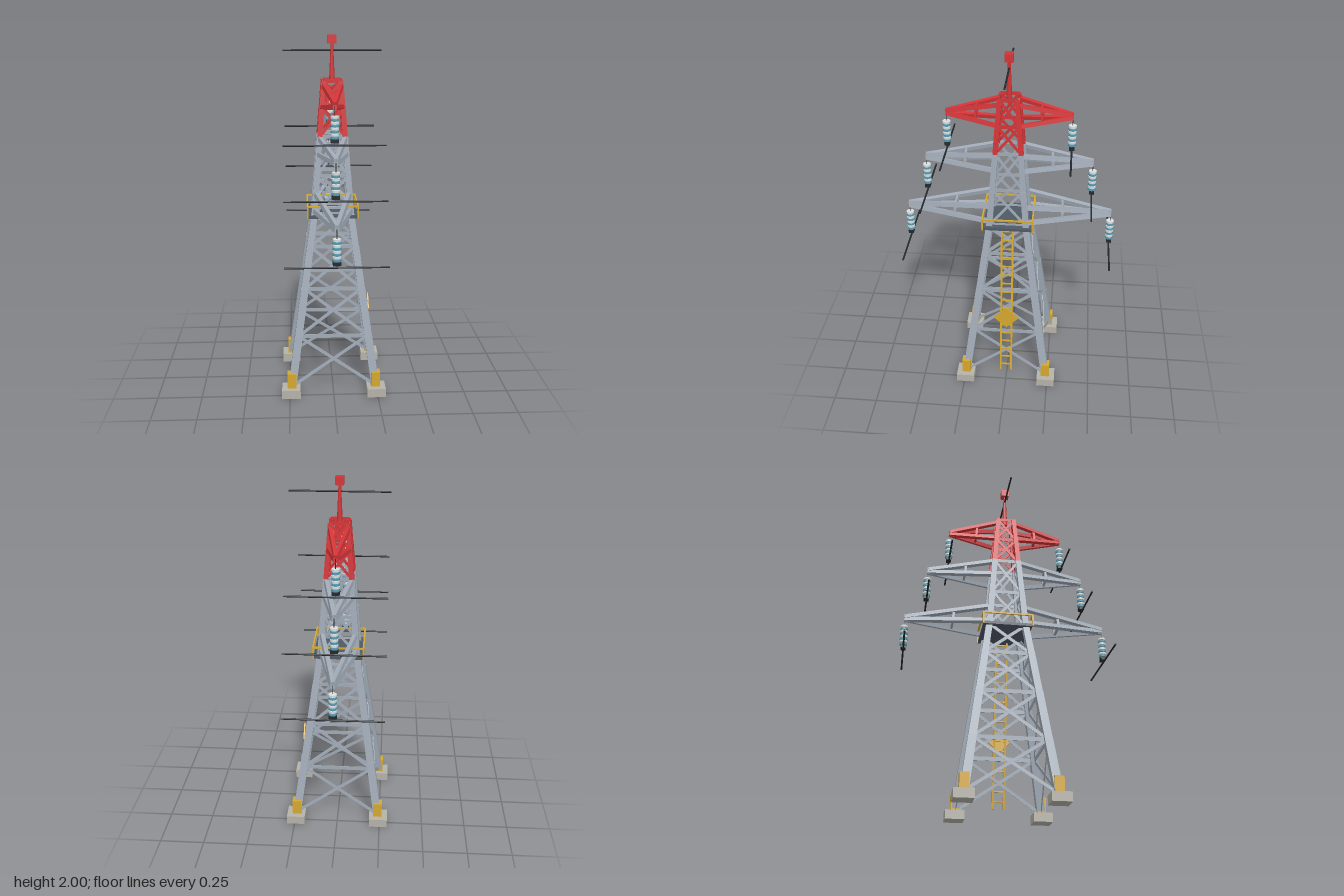
import * as THREE from 'three';

const mat = (name, color) => Object.assign(new THREE.MeshStandardMaterial({ color }), { name });
const steel = mat('galvanised steel', 0xa1abb7);
const red = mat('warning red', 0xd43437);
const yellow = mat('safety yellow', 0xd5a82e);
const concrete = mat('concrete', 0xb5b2a9);
const slate = mat('deck slate', 0x505a66);
const dark = mat('cable black', 0x24282c);
const pale = mat('porcelain', 0xdcdfdf);
const teal = mat('glass teal', 0x5a9db3);

const V = (x, y, z) => new THREE.Vector3(x, y, z);
const UP = V(0, 1, 0);

function add(parent, name, geometry, material, x = 0, y = 0, z = 0) {
  const mesh = new THREE.Mesh(geometry, material);
  mesh.name = name;
  mesh.position.set(x, y, z);
  parent.add(mesh);
  return mesh;
}
const box = (parent, name, material, w, h, d, x, y, z) =>
  add(parent, name, new THREE.BoxGeometry(w, h, d), material, x, y, z);

// Square bar running from a to b
function beam(parent, name, material, a, b, w) {
  const dir = b.clone().sub(a);
  const mesh = box(parent, name, material, w, dir.length(), w, 0, 0, 0);
  mesh.position.copy(a).add(b).multiplyScalar(0.5);
  mesh.quaternion.setFromUnitVectors(UP, dir.normalize());
}

// Thin flat bar from a to b whose broad side faces along normal
function flatBar(parent, name, material, a, b, w, normal) {
  const dir = b.clone().sub(a);
  const mesh = box(parent, name, material, w, dir.length(), 0.003, 0, 0, 0);
  mesh.position.copy(a).add(b).multiplyScalar(0.5);
  dir.normalize();
  const out = normal.clone().addScaledVector(dir, -normal.dot(dir)).normalize();
  const across = dir.clone().cross(out);
  mesh.quaternion.setFromRotationMatrix(new THREE.Matrix4().makeBasis(across, dir, out));
}

function group(parent, name) {
  const g = new THREE.Group();
  g.name = name;
  parent.add(g);
  return g;
}

// Half width of the tower, to the leg centres, at height y
function half(y) {
  return y < 1.03
    ? THREE.MathUtils.mapLinear(y, 0.05, 1.03, 0.237, 0.102)
    : THREE.MathUtils.mapLinear(y, 1.03, 1.76, 0.102, 0.047);
}
const corners = [[1, 1], [1, -1], [-1, -1], [-1, 1]];

function buildFootings(root) {
  for (const [sx, sz] of corners) {
    const g = group(root, 'footing');
    box(g, 'footingBlock', concrete, 0.105, 0.05, 0.105, sx * 0.242, 0.025, sz * 0.242);
    box(g, 'legGuard', yellow, 0.05, 0.087, 0.05, sx * 0.238, 0.0935, sz * 0.238);
  }
}

function buildTower(root) {
  const levels = [0.05, 0.34, 0.61, 0.85, 1.03, 1.245, 1.46, 1.615, 1.76];
  const legWidths = [0.044, 0.042, 0.039, 0.036, 0.033, 0.031, 0.027, 0.025];
  for (let i = 0; i < 8; i++) {
    const y0 = levels[i], y1 = levels[i + 1];
    const material = i < 6 ? steel : red;
    const panel = group(root, i < 6 ? 'towerPanel' : 'redTowerPanel');
    const at = ([sx, sz], y) => V(sx * half(y), y, sz * half(y));
    const braceW = i < 4 ? 0.018 : 0.015;
    corners.forEach((c, k) => {
      const n = corners[(k + 1) % 4];
      const out = V(c[0] + n[0], 0, c[1] + n[1]).normalize();
      beam(panel, 'leg', material, at(c, y0), at(c, y1), legWidths[i]);
      flatBar(panel, 'crossBrace', material, at(c, y0), at(n, y1), braceW, out);
      flatBar(panel, 'crossBrace', material, at(n, y0), at(c, y1), braceW, out);
      flatBar(panel, 'girt', material, at(c, y1), at(n, y1), i < 4 ? 0.023 : 0.02, out);
    });
  }
}

// Four chords meeting at the tip, with posts and struts part way along
function buildArm(root, side, a) {
  const arm = group(root, 'crossArm');
  const tipLow = V(0, a.tipY - 0.006, side * a.tipZ);
  const tipHigh = V(0, a.tipY + 0.008, side * a.tipZ);
  const low = (s, t) => V(s * half(a.low), a.low, side * half(a.low)).lerp(tipLow, t);
  const high = (s, t) => V(s * half(a.high), a.high, side * half(a.high)).lerp(tipHigh, t);
  for (const s of [1, -1]) {
    beam(arm, 'lowerChord', a.material, low(s, 0), tipLow, a.w);
    beam(arm, 'upperChord', a.material, high(s, 0), tipHigh, a.w);
    beam(arm, 'armPost', a.material, low(s, 0.43), high(s, 0.43), 0.014);
  }
  beam(arm, 'armStrut', a.material, low(-1, 0.43), low(1, 0.43), 0.012);
  beam(arm, 'armStrut', a.material, high(-1, 0.43), high(1, 0.43), 0.012);
}

const disc = new THREE.CylinderGeometry(0.0215, 0.0215, 0.0115, 12);
const cable = new THREE.CylinderGeometry(0.005, 0.005, 0.535, 8).rotateZ(Math.PI / 2);

// Alternating discs on a thin wire, with the clamp and cable below
function buildInsulator(root, { top, tipY, tipZ }, side) {
  const g = group(root, 'insulatorString');
  const z = side * tipZ;
  beam(g, 'hangerWire', dark, V(0, tipY, z), V(0, top - 0.154, z), 0.003);
  for (let i = 0; i < 8; i++) {
    const isPale = i % 2 === 0;
    add(g, isPale ? 'paleDisc' : 'tealDisc', disc, isPale ? pale : teal, 0, top - 0.007 - i * 0.0152, z);
  }
  box(g, 'cableClamp', dark, 0.042, 0.018, 0.028, 0, top - 0.132, z);
  add(g, 'cable', cable, dark, 0, top - 0.154, z);
}

function buildPlatform(root) {
  const g = group(root, 'platform');
  box(g, 'deck', slate, 0.275, 0.016, 0.275, 0, 1.022, 0);
  const r = 0.139;
  corners.forEach(([sx, sz], k) => {
    const [nx, nz] = corners[(k + 1) % 4];
    beam(g, 'railPost', yellow, V(sx * r, 1.015, sz * r), V(sx * r, 1.086, sz * r), 0.009);
    beam(g, 'handRail', yellow, V(sx * r, 1.082, sz * r), V(nx * r, 1.082, nz * r), 0.009);
  });
}

function buildLadder(root) {
  const g = group(root, 'ladder');
  const at = (t, z) => V(0.241, 0.07, z).lerp(V(0.116, 1.015, z), t);
  for (const z of [0.031, -0.031]) beam(g, 'ladderRail', yellow, at(0, z), at(1, z), 0.011);
  for (let i = 0; i < 17; i++) {
    const t = (i + 0.7) / 17;
    beam(g, 'rung', yellow, at(t, -0.031), at(t, 0.031), 0.007);
  }
  // Diamond warning plate in front of the rails
  box(g, 'warningPlate', yellow, 0.007, 0.102, 0.102, 0.209, 0.45, 0).rotation.x = Math.PI / 4;
}

function buildMast(root) {
  const g = group(root, 'mast');
  add(g, 'mastPole', new THREE.CylinderGeometry(0.007, 0.016, 0.21, 8), red, 0, 1.855, 0);
  box(g, 'beacon', red, 0.045, 0.044, 0.045, 0, 1.978, 0);
  add(g, 'groundCable', cable, dark, 0, 1.92, 0);
}

export function createModel() {
  const root = new THREE.Group();
  root.name = 'transmissionTower';
  buildFootings(root);
  buildTower(root);
  const arms = [
    { tipZ: 0.57, tipY: 1.077, low: 1.05, high: 1.145, top: 1.03, material: steel, w: 0.024 },
    { tipZ: 0.455, tipY: 1.392, low: 1.363, high: 1.452, top: 1.345, material: steel, w: 0.023 },
    { tipZ: 0.335, tipY: 1.662, low: 1.62, high: 1.735, top: 1.612, material: red, w: 0.021 },
  ];
  for (const a of arms) {
    for (const side of [1, -1]) {
      buildArm(root, side, a);
      buildInsulator(root, a, side);
    }
  }
  buildPlatform(root);
  buildLadder(root);
  buildMast(root);
  return root;
}
